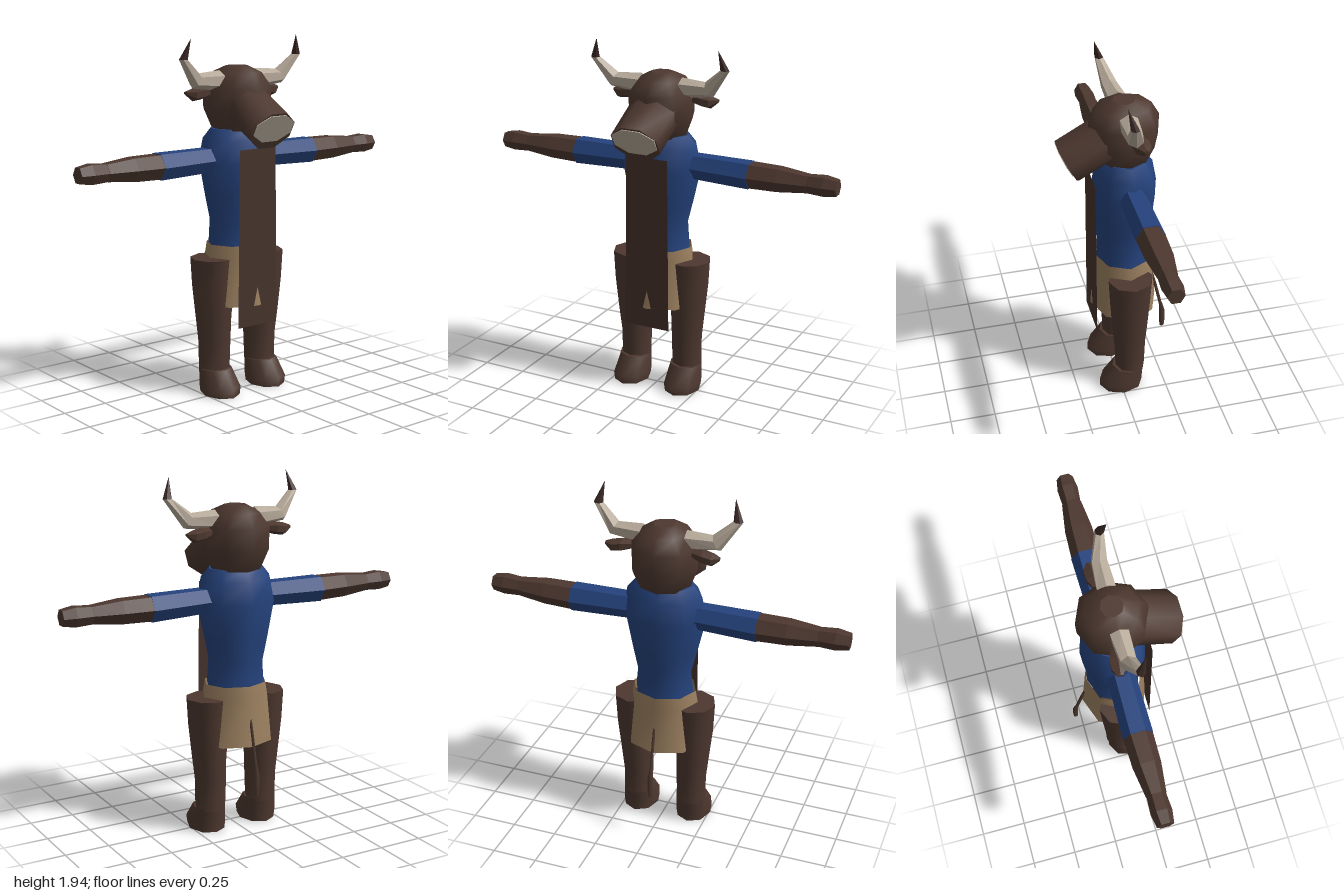
import * as THREE from 'three';

const mat = (name, color, side = THREE.FrontSide) => {
  const m = new THREE.MeshStandardMaterial({ color, side });
  m.name = name;
  return m;
};

// Skins a row of elliptical rings [x, y, z, radiusU, radiusV, u?]; the winding follows the path.
function loft(rings, u, v, { sides = 8, phase = 0, flat = false, caps = true } = {}) {
  const U = new THREE.Vector3(...u), V = new THREE.Vector3(...v);
  const at = (i) => new THREE.Vector3(...rings[i].slice(0, 3));
  if (U.clone().cross(V).dot(at(1).sub(at(0))) < 0) V.negate();
  const pos = [], idx = [];
  const addRing = (i) => {
    const first = pos.length / 3, [, , , a, b, ru] = rings[i];
    const axis = ru ? new THREE.Vector3(...ru).normalize() : U;
    for (let k = 0; k < sides; k++) {
      const t = phase + (k / sides) * Math.PI * 2;
      pos.push(...at(i).addScaledVector(axis, a * Math.cos(t)).addScaledVector(V, b * Math.sin(t)).toArray());
    }
    return first;
  };
  const starts = rings.map((_, i) => addRing(i));
  for (let i = 0; i < rings.length - 1; i++) {
    for (let k = 0; k < sides; k++) {
      const n = (k + 1) % sides, p = starts[i], q = starts[i + 1];
      idx.push(p + k, p + n, q + n, p + k, q + n, q + k);
    }
  }
  if (caps) {
    const a = addRing(0), b = addRing(rings.length - 1);
    for (let k = 1; k < sides - 1; k++) idx.push(a, a + k + 1, a + k, b, b + k, b + k + 1);
  }
  let g = new THREE.BufferGeometry();
  g.setAttribute('position', new THREE.Float32BufferAttribute(pos, 3));
  g.setIndex(idx);
  if (flat) g = g.toNonIndexed();
  g.computeVertexNormals();
  return g;
}

export function createModel() {
  const root = new THREE.Group();
  root.name = 'hornedFigure';
  const brown = mat('brown hide', 0x4d382f);
  const cloth = mat('dark brown cloth', 0x46332c, THREE.DoubleSide);
  const blue = mat('blue shirt', 0x25437d);
  const tan = mat('tan skirt', 0x9c8060, THREE.DoubleSide);
  const bone = mat('pale horn', 0xb8ab9b);
  const dark = mat('dark horn tip', 0x3a2825);
  const add = (name, geometry, material) => {
    const m = new THREE.Mesh(geometry, material);
    m.name = name;
    root.add(m);
  };
  const X = [1, 0, 0], Y = [0, 1, 0], Z = [0, 0, 1];

  // Body
  add('torso', loft([
    [0, 0.82, -0.055, 0.165, 0.15], [0, 0.95, -0.055, 0.152, 0.15],
    [0, 1.1, -0.055, 0.19, 0.165], [0, 1.28, -0.055, 0.233, 0.179],
    [0, 1.4, -0.055, 0.21, 0.157], [0, 1.46, -0.055, 0.16, 0.115],
  ], X, Z), blue);
  add('skirt', loft([
    [0, 0.5, -0.053, 0.215, 0.188], [0, 0.765, -0.053, 0.19, 0.165], [0, 0.83, -0.053, 0.178, 0.156],
  ], X, Z, { caps: false }), tan);
  const panel = new THREE.Shape([
    [-0.133, 0.39], [0.133, 0.39], [0.122, 1.36], [-0.122, 1.36],
  ].map((p) => new THREE.Vector2(...p)));
  const panelGeometry = new THREE.ShapeGeometry(panel);
  panelGeometry.translate(0, 0, 0.126);
  add('frontPanel', panelGeometry, cloth);

  // Head
  add('head', loft([
    [0, 1.4, -0.055, 0.08, 0.08], [0, 1.45, -0.055, 0.14, 0.13], [0, 1.56, -0.055, 0.182, 0.184],
    [0, 1.68, -0.055, 0.184, 0.188], [0, 1.755, -0.055, 0.125, 0.145], [0, 1.79, -0.055, 0.06, 0.06],
  ], X, Z), brown);

  // Muzzle, sloping forward and down, with a pale nose plate
  const up = [0, 0.875, 0.484];
  const along = (d, lift, a, b) => [0, 1.465 - 0.484 * d + 0.875 * lift, 0.248 + 0.875 * d + 0.484 * lift, a, b];
  const octagon = { phase: Math.PI / 8 };
  add('muzzle', loft([along(-0.25, 0, 0.145, 0.117), along(0, 0, 0.143, 0.117)], X, up, octagon), brown);
  add('nosePlate', loft([along(-0.002, 0.017, 0.134, 0.087), along(0.005, 0.017, 0.134, 0.087)], X, up, octagon), bone);

  // Tail with tuft
  add('tail', loft([
    [0, 0.7, -0.205, 0.008, 0.01], [0, 0.56, -0.243, 0.008, 0.01], [0, 0.39, -0.282, 0.008, 0.01],
  ], X, Z, { sides: 6 }), brown);
  add('tailTuft', loft([
    [0, 0.41, -0.28, 0.008, 0.009], [0, 0.36, -0.288, 0.016, 0.016],
    [0, 0.28, -0.29, 0.015, 0.016], [0, 0.24, -0.29, 0.009, 0.013],
  ], X, Z, { sides: 6 }), brown);

  for (const [side, s] of [['left', 1], ['right', -1]]) {
    const hex = { sides: 6, flat: true };

    // Horn: bends outward, then up to a dark point
    const bend = [-0.5 * s, 0.87, 0], tipAxis = [-s, 0, 0];
    const neck = [s * 0.38, 1.838, -0.015, 0.026, 0.024, tipAxis];
    add(side + 'Horn', loft([
      [s * 0.12, 1.715, -0.05, 0.055, 0.055],
      [s * 0.28, 1.722, -0.045, 0.045, 0.045, bend],
      neck,
    ], Y, Z, hex), bone);
    add(side + 'HornTip', loft([neck, [s * 0.355, 1.943, 0.015, 0.001, 0.001, tipAxis]], tipAxis, Z, hex), dark);

    // Ear
    add(side + 'Ear', loft([
      [s * 0.15, 1.66, -0.075, 0.02, 0.025], [s * 0.22, 1.653, -0.085, 0.035, 0.05],
      [s * 0.27, 1.645, -0.09, 0.034, 0.045], [s * 0.31, 1.655, -0.095, 0.01, 0.015],
    ], Y, Z, hex), brown);

    // Arm: sleeve, forearm and hand
    add(side + 'Sleeve', loft([
      [s * 0.15, 1.297, -0.06, 0.074, 0.072], [s * 0.52, 1.29, -0.062, 0.08, 0.078],
    ], Z, Y, hex), blue);
    add(side + 'Forearm', loft([
      [s * 0.52, 1.291, -0.062, 0.078, 0.073], [s * 0.68, 1.292, -0.06, 0.074, 0.07],
      [s * 0.84, 1.292, -0.057, 0.053, 0.052],
    ], Z, Y, hex), brown);
    add(side + 'Hand', loft([
      [s * 0.84, 1.292, -0.057, 0.05, 0.052], [s * 0.93, 1.293, -0.056, 0.056, 0.058],
      [s, 1.292, -0.055, 0.045, 0.046],
    ], Z, Y, hex), brown);

    // Leg and hoof
    add(side + 'Leg', loft([
      [s * 0.16, 0.125, -0.057, 0.086, 0.084], [s * 0.158, 0.28, -0.057, 0.088, 0.09],
      [s * 0.165, 0.42, -0.055, 0.096, 0.102], [s * 0.168, 0.6, -0.055, 0.114, 0.115],
      [s * 0.17, 0.76, -0.055, 0.12, 0.124],
    ], X, Z), brown);
    add(side + 'Hoof', loft([
      [s * 0.16, 0, -0.005, 0.098, 0.124], [s * 0.16, 0.045, -0.005, 0.106, 0.126],
      [s * 0.16, 0.14, -0.045, 0.092, 0.09],
    ], X, Z), brown);
  }
  return root;
}
